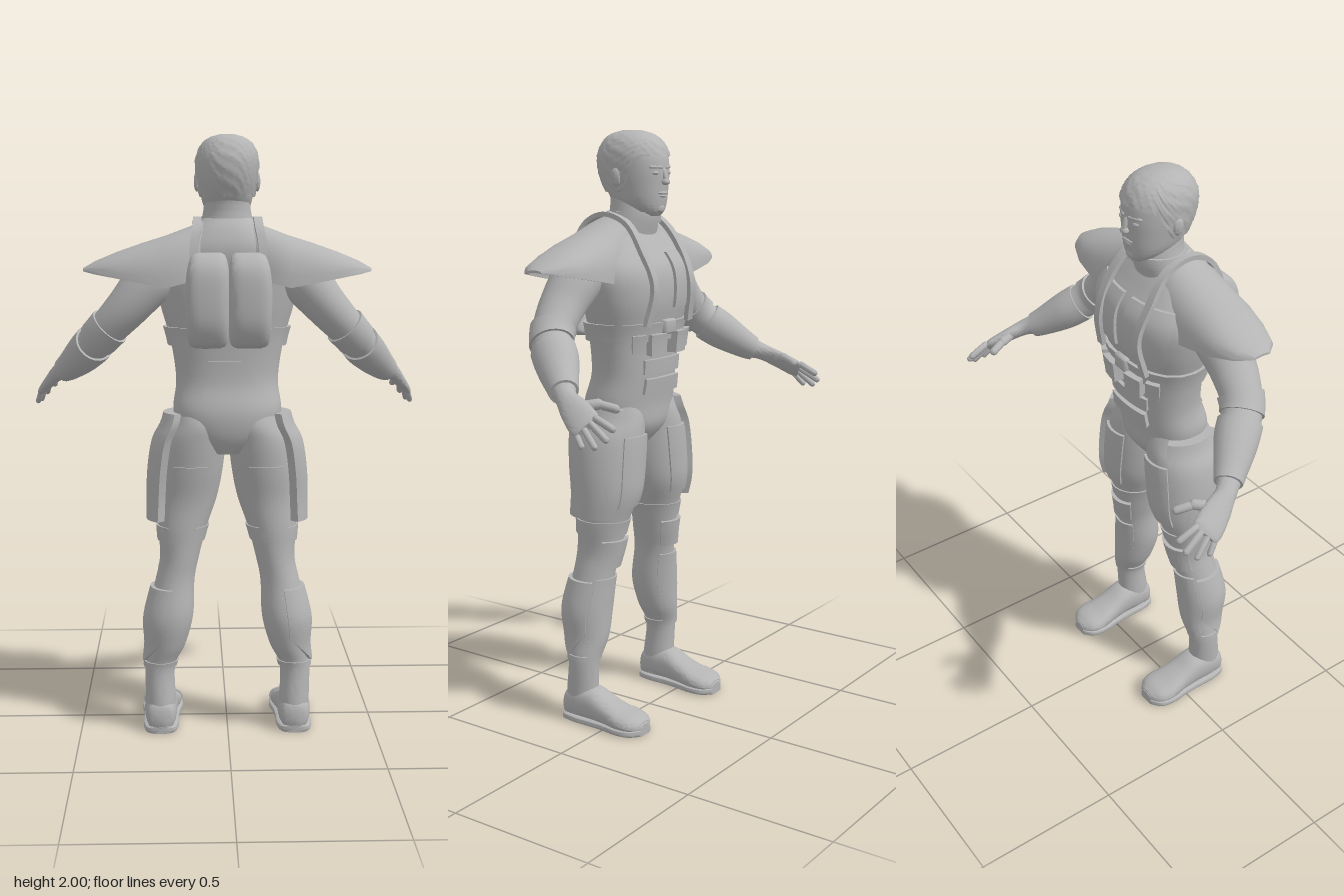
import * as THREE from 'three';
import { toCreasedNormals } from 'three/addons/utils/BufferGeometryUtils.js';
import { RoundedBoxGeometry } from 'three/addons/geometries/RoundedBoxGeometry.js';

const V = (x, y, z) => new THREE.Vector3(x, y, z);
const PI = Math.PI, FRONT = -PI / 2, BACK = PI / 2;

// Skin a list of rings; closed rings wrap round and get end caps
function skin(rings, closed = true) {
  const pos = [], idx = [], m = rings[0].length, n = rings.length;
  rings.forEach(r => r.forEach(p => pos.push(p.x, p.y, p.z)));
  for (let i = 0; i < n - 1; i++) for (let j = 0; j < (closed ? m : m - 1); j++) {
    const k = (j + 1) % m, a = i * m + j, b = a + m, c = (i + 1) * m + k, d = i * m + k;
    idx.push(a, b, c, a, c, d);
  }
  if (closed) [0, n - 1].forEach((i, top) => {
    const c = rings[i].reduce((s, p) => s.add(p), V(0, 0, 0)).divideScalar(m), ci = pos.length / 3;
    pos.push(c.x, c.y, c.z);
    for (let j = 0; j < m; j++) {
      const a = i * m + j, b = i * m + (j + 1) % m;
      top ? idx.push(ci, b, a) : idx.push(ci, a, b);
    }
  });
  const g = new THREE.BufferGeometry();
  g.setAttribute('position', new THREE.Float32BufferAttribute(pos, 3));
  g.setIndex(idx);
  return g;
}

// A limb is a list of sections [x, y, z, radiusA, radiusB] blended smoothly
const limb = (keys, power = 2, frame = 'level') => ({ keys, power, frame });
function sample({ keys }, t) {
  const n = keys.length - 1, i = Math.min(Math.max(Math.floor(t), 0), n - 1), f = t - i;
  const k = j => keys[Math.min(Math.max(j, 0), n)];
  return keys[0].map((_, c) => {
    const p0 = k(i - 1)[c], p1 = k(i)[c], p2 = k(i + 1)[c], p3 = k(i + 2)[c];
    const m1 = (p2 - p0) / 2, m2 = (p3 - p1) / 2, d = p1 - p2;
    return p1 + f * (m1 + f * (-3 * d - 2 * m1 - m2 + f * (2 * d + m1 + m2)));
  });
}
function at(l, t, a, off = 0) {
  const [x, y, z, ra, rb] = sample(l, t), e = 2 / l.power;
  const bend = v => Math.sign(v) * Math.abs(v) ** e;
  let A = V(1, 0, 0), B = V(0, 0, 1);
  if (l.frame === 'foot') B = V(0, 1, 0);
  if (l.frame === 'arm') {
    const p = sample(l, Math.max(t - 0.1, 0)), q = sample(l, Math.min(t + 0.1, l.keys.length - 1));
    const T = V(q[0] - p[0], q[1] - p[1], q[2] - p[2]).normalize();
    A = T.clone().cross(V(0.7, 0.7, 0)).normalize();
    B = A.clone().cross(T);
  }
  return V(x, y, z).addScaledVector(A, (ra + off) * bend(Math.cos(a))).addScaledVector(B, (rb + off) * bend(Math.sin(a)));
}
function limbGeo(l, sides = 32, steps = 5) {
  const rings = [], n = (l.keys.length - 1) * steps;
  for (let i = 0; i <= n; i++) rings.push(Array.from({ length: sides }, (_, j) => at(l, i / steps, j / sides * 2 * PI)));
  return skin(rings);
}
// Height to section position
function tOf(l, y) {
  const k = l.keys;
  let i = 0;
  while (i < k.length - 2 && k[i + 1][1] < y) i++;
  return i + (y - k[i][1]) / (k[i + 1][1] - k[i][1]);
}
// Raised plate following a limb; t0 and off may vary with the angle
function plate(l, t0, t1, a0, a1, off, n = 14, m = 20) {
  const rows = [], cl = THREE.MathUtils.clamp;
  for (let i = -1; i <= n + 1; i++) {
    const row = [];
    for (let j = -1; j <= m + 1; j++) {
      const a = a0 + (a1 - a0) * cl(j, 0, m) / m, s = typeof t0 === 'function' ? t0(a) : t0;
      const t = s + (t1 - s) * cl(i, 0, n) / n;
      const edge = i < 0 || j < 0 || i > n || j > m;
      row.push(at(l, t, a, edge ? -0.006 : typeof off === 'function' ? off(a, t) : off));
    }
    rows.push(row);
  }
  return skin(rows, false);
}
const plateY = (l, y0, y1, a0, a1, off) => plate(l, tOf(l, y0), tOf(l, y1), a0, a1, off);

function capsule(p, q, r) {
  const d = q.clone().sub(p), g = new THREE.CapsuleGeometry(r, d.length(), 4, 10);
  g.applyQuaternion(new THREE.Quaternion().setFromUnitVectors(V(0, 1, 0), d.normalize()));
  return g.translate((p.x + q.x) / 2, (p.y + q.y) / 2, (p.z + q.z) / 2);
}
const ball = (x, y, z, a, b, c) => new THREE.SphereGeometry(1, 18, 12).scale(a, b, c).translate(x, y, z);
const box = (x, y, z, w, h, d) => new RoundedBoxGeometry(w, h, d, 2, Math.min(w, h, d) * 0.25).translate(x, y, z);

// Flat ribbon along a path, wide in x
function ribbon(points, w, th) {
  const c = new THREE.CatmullRomCurve3(points), rings = [];
  for (let i = 0; i <= 40; i++) {
    const p = c.getPoint(i / 40), T = c.getTangent(i / 40), A = V(1, 0, 0).addScaledVector(T, -T.x).normalize();
    const B = A.clone().cross(T);
    rings.push([[1, -1], [1, 1], [-1, 1], [-1, -1]].map(([a, b]) =>
      p.clone().addScaledVector(A, a * w / 2).addScaledVector(B, b * th / 2)));
  }
  return skin(rings);
}

export function createModel() {
  const root = new THREE.Group();
  const grey = new THREE.MeshStandardMaterial({ color: 0xb4b4b4 });
  grey.name = 'grey';
  function add(name, geo, crease = 0.75) {
    const mesh = new THREE.Mesh(toCreasedNormals(geo, crease), grey);
    mesh.name = name;
    root.add(mesh);
  }
  // Left part plus its mirrored right twin
  function pair(name, geo, crease) {
    const flat = geo.index ? geo.toNonIndexed() : geo, twin = flat.clone().scale(-1, 1, 1), p = twin.attributes.position;
    for (let i = 0; i < p.count; i += 3) {
      const a = V().fromBufferAttribute(p, i), b = V().fromBufferAttribute(p, i + 2);
      p.setXYZ(i, b.x, b.y, b.z).setXYZ(i + 2, a.x, a.y, a.z);
    }
    add('left' + name, flat, crease);
    add('right' + name, twin, crease);
  }

  // Torso; the figure faces -z
  const torso = limb([[0, 0.96, 0.09, 0.06, 0.08], [0, 1.02, 0.085, 0.15, 0.115], [0, 1.1, 0.085, 0.18, 0.122],
    [0, 1.2, 0.065, 0.17, 0.115], [0, 1.33, 0.06, 0.188, 0.12], [0, 1.45, 0.053, 0.222, 0.138],
    [0, 1.55, 0.06, 0.235, 0.137], [0, 1.63, 0.09, 0.19, 0.115], [0, 1.69, 0.1, 0.12, 0.085], [0, 1.73, 0.085, 0.08, 0.07]], 2.3);
  add('torso', limbGeo(torso, 48));
  pair('ChestPlate', plateY(torso, 1.42, 1.6, FRONT + 0.06, FRONT + 0.95, 0.01));
  add('chestBelt', plateY(torso, 1.315, 1.375, 0, 2 * PI, 0.013));
  add('lowerBackPlate', plateY(torso, 1.14, 1.27, BACK - 0.4, BACK + 0.4, 0.006));
  pair('SidePouch', plateY(torso, 1.27, 1.34, FRONT + 0.1, FRONT + 0.42, 0.035));
  pair('OuterPouch', plateY(torso, 1.28, 1.34, FRONT + 0.52, FRONT + 0.8, 0.03));
  add('abdomenPlate', plateY(torso, 1.205, 1.255, FRONT - 0.5, FRONT + 0.5, 0.014));
  add('waistPlate', plateY(torso, 1.14, 1.19, FRONT - 0.45, FRONT + 0.45, 0.018));
  add('chestBuckle', box(0, 1.36, -0.075, 0.06, 0.05, 0.03));

  // Back pack and shoulder straps
  pair('PackLobe', limbGeo(limb([[0.066, 1.318, 0.225, 0.04, 0.02], [0.067, 1.335, 0.235, 0.062, 0.04],
    [0.068, 1.4, 0.255, 0.068, 0.05], [0.068, 1.5, 0.26, 0.07, 0.05], [0.066, 1.57, 0.25, 0.066, 0.05],
    [0.064, 1.61, 0.235, 0.055, 0.035], [0.062, 1.622, 0.225, 0.04, 0.015]], 3.2)));
  pair('ShoulderStrap', ribbon([V(0.11, 1.56, 0.23), V(0.11, 1.64, 0.215), V(0.1, 1.7, 0.18), V(0.098, 1.728, 0.11),
    V(0.1, 1.7, 0.02), V(0.11, 1.61, -0.05), V(0.105, 1.5, -0.095), V(0.12, 1.37, -0.075)], 0.028, 0.016), 0.5);

  // Broad swept shoulder guards
  const guard = [[0.06, 1.735, 1.6, 0.085, 0.09], [0.12, 1.705, 1.53, 0.12, 0.11], [0.2, 1.675, 1.51, 0.125, 0.11],
    [0.28, 1.65, 1.525, 0.12, 0.11], [0.36, 1.622, 1.54, 0.105, 0.105], [0.43, 1.593, 1.552, 0.075, 0.105], [0.47, 1.57, 1.56, 0.03, 0.105]];
  pair('ShoulderGuard', skin(guard.map(([x, top, rim, h, cz]) => {
    const arc = d => Array.from({ length: 19 }, (_, i) => {
      const a = i / 18 * PI, c = Math.cos(a);
      return V(x, rim + (top - rim - d) * Math.sin(a) ** 0.85, cz + (h - d) * Math.sign(c) * Math.abs(c) ** 0.85);
    });
    return [...arc(0), ...arc(0.008).reverse()];
  })));

  // Arms and hands
  const arm = limb([[0.19, 1.57, 0.1, 0.06, 0.06], [0.25, 1.53, 0.105, 0.085, 0.08], [0.33, 1.44, 0.112, 0.078, 0.07],
    [0.41, 1.355, 0.088, 0.066, 0.06], [0.47, 1.29, 0.02, 0.064, 0.058], [0.535, 1.23, -0.055, 0.044, 0.04],
    [0.575, 1.205, -0.1, 0.034, 0.028], [0.6, 1.18, -0.15, 0.045, 0.022], [0.625, 1.15, -0.205, 0.05, 0.018],
    [0.632, 1.14, -0.225, 0.043, 0.012]], 2, 'arm');
  pair('Arm', limbGeo(arm));
  pair('ElbowBand', plate(arm, 2.7, 3.25, 0, 2 * PI, 0.008));
  pair('Gauntlet', plate(arm, 3.5, 5.4, 0, 2 * PI, 0.008));
  const bases = [[0.613, 1.165, -0.243], [0.624, 1.152, -0.228], [0.636, 1.14, -0.21], [0.647, 1.127, -0.19]];
  const tips = [[0.61, 1.14, -0.3], [0.637, 1.112, -0.296], [0.655, 1.09, -0.268], [0.662, 1.088, -0.225]];
  bases.forEach((b, i) => pair('Finger' + (i + 1), capsule(V(...b), V(...tips[i]), 0.0115 - i * 0.0006)));
  pair('ThumbBase', capsule(V(0.59, 1.185, -0.15), V(0.553, 1.195, -0.205), 0.017));
  pair('ThumbTip', capsule(V(0.553, 1.195, -0.205), V(0.533, 1.183, -0.255), 0.014));

  // Legs with armour plates
  const leg = limb([[0.228, 0.03, 0.12, 0.05, 0.06], [0.228, 0.1, 0.12, 0.051, 0.058], [0.23, 0.22, 0.112, 0.051, 0.054],
    [0.207, 0.3, 0.115, 0.064, 0.07], [0.195, 0.4, 0.12, 0.078, 0.08], [0.178, 0.52, 0.105, 0.066, 0.075],
    [0.162, 0.6, 0.095, 0.066, 0.08], [0.152, 0.7, 0.085, 0.082, 0.09], [0.135, 0.8, 0.07, 0.1, 0.105],
    [0.123, 0.9, 0.075, 0.108, 0.115], [0.11, 1.0, 0.082, 0.105, 0.12], [0.095, 1.06, 0.085, 0.09, 0.115],
    [0.09, 1.12, 0.08, 0.08, 0.09]]);
  pair('Leg', limbGeo(leg));
  pair('OuterThighPad', plateY(leg, 0.73, 1.09, -0.85, 0.75, a => 0.034 * Math.cos(a * 0.9) + 0.004));
  pair('BackThighPlate', plateY(leg, 0.7, 0.92, BACK - 0.55, BACK + 0.5, 0.008));
  pair('FrontThighPlate', plateY(leg, 0.76, 1.0, FRONT - 0.45, FRONT + 0.6, 0.009));
  pair('KneeBand', plateY(leg, 0.66, 0.71, 0, 2 * PI, 0.006));
  pair('KneePad', plateY(leg, 0.545, 0.645, FRONT - 0.75, FRONT + 0.95, 0.014));
  pair('ShinGuard', plateY(leg, 0.24, 0.51, FRONT - 0.8, FRONT + 0.9, 0.007));
  const slant = a => tOf(leg, 0.24 + 0.09 * Math.abs(a - 0.4));
  pair('CalfGuard', plate(leg, slant, tOf(leg, 0.5), -0.55, 1.5, 0.013));
  pair('AnkleCuff', plateY(leg, 0.222, 0.24, 0, 2 * PI, 0.006));

  // Feet
  const foot = limb([[0.228, 0.05, 0.184, 0.025, 0.03], [0.228, 0.055, 0.17, 0.045, 0.05], [0.228, 0.065, 0.12, 0.055, 0.06],
    [0.228, 0.065, 0.06, 0.055, 0.06], [0.226, 0.05, 0, 0.058, 0.045], [0.225, 0.038, -0.06, 0.066, 0.034],
    [0.224, 0.032, -0.11, 0.058, 0.026], [0.222, 0.026, -0.14, 0.025, 0.014]], 2.4, 'foot');
  pair('Boot', limbGeo(foot));
  pair('ToeCap', plate(foot, 5, 6.8, 0, PI, 0.004));
  const sole = foot.keys.map(([x, , z, rx]) => [x, 0.0125, z, rx + 0.005, 0.0125]);
  pair('Sole', limbGeo(limb(sole, 5, 'foot')));

  // Neck and head
  const neck = limb([[0, 1.66, 0.08, 0.1, 0.085], [0, 1.72, 0.065, 0.085, 0.083], [0, 1.77, 0.065, 0.076, 0.078], [0, 1.82, 0.075, 0.072, 0.078]]);
  add('neck', limbGeo(neck));
  add('collar', plateY(neck, 1.7, 1.735, 0, 2 * PI, 0.008));
  const head = limb([[0, 1.722, -0.012, 0.026, 0.024], [0, 1.74, 0.01, 0.055, 0.058], [0, 1.77, 0.038, 0.077, 0.092],
    [0, 1.82, 0.053, 0.089, 0.111], [0, 1.87, 0.061, 0.096, 0.121], [0, 1.92, 0.065, 0.097, 0.118],
    [0, 1.96, 0.067, 0.083, 0.098], [0, 1.985, 0.07, 0.058, 0.068], [0, 1.998, 0.07, 0.022, 0.025]], 2.15);
  add('head', limbGeo(head, 40));
  // Short hair: low at the nape, high over the brow
  const hairline = a => tOf(head, 1.8 + 0.115 * THREE.MathUtils.smoothstep(-Math.sin(a), -0.15, 0.75));
  add('hair', plate(head, hairline, 8, 0, 2 * PI, (a, t) => 0.0065 + 0.0022 * Math.sin(a * 19 + 4 * t) * Math.sin(t * 11 + 3 * Math.sin(a * 4)), 28, 72));
  add('noseBridge', capsule(V(0, 1.868, -0.056), V(0, 1.84, -0.066), 0.009));
  add('noseTip', ball(0, 1.833, -0.064, 0.016, 0.011, 0.015));
  add('upperLip', ball(0, 1.797, -0.052, 0.026, 0.006, 0.01));
  add('lowerLip', ball(0, 1.787, -0.049, 0.022, 0.006, 0.01));
  add('chin', ball(0, 1.748, -0.036, 0.026, 0.02, 0.018));
  pair('Eye', ball(0.034, 1.862, -0.047, 0.015, 0.008, 0.01));
  pair('Brow', capsule(V(0.015, 1.879, -0.057), V(0.052, 1.881, -0.041), 0.006));
  pair('Ear', ball(0.099, 1.848, 0.065, 0.01, 0.032, 0.019));
  return root;
}
